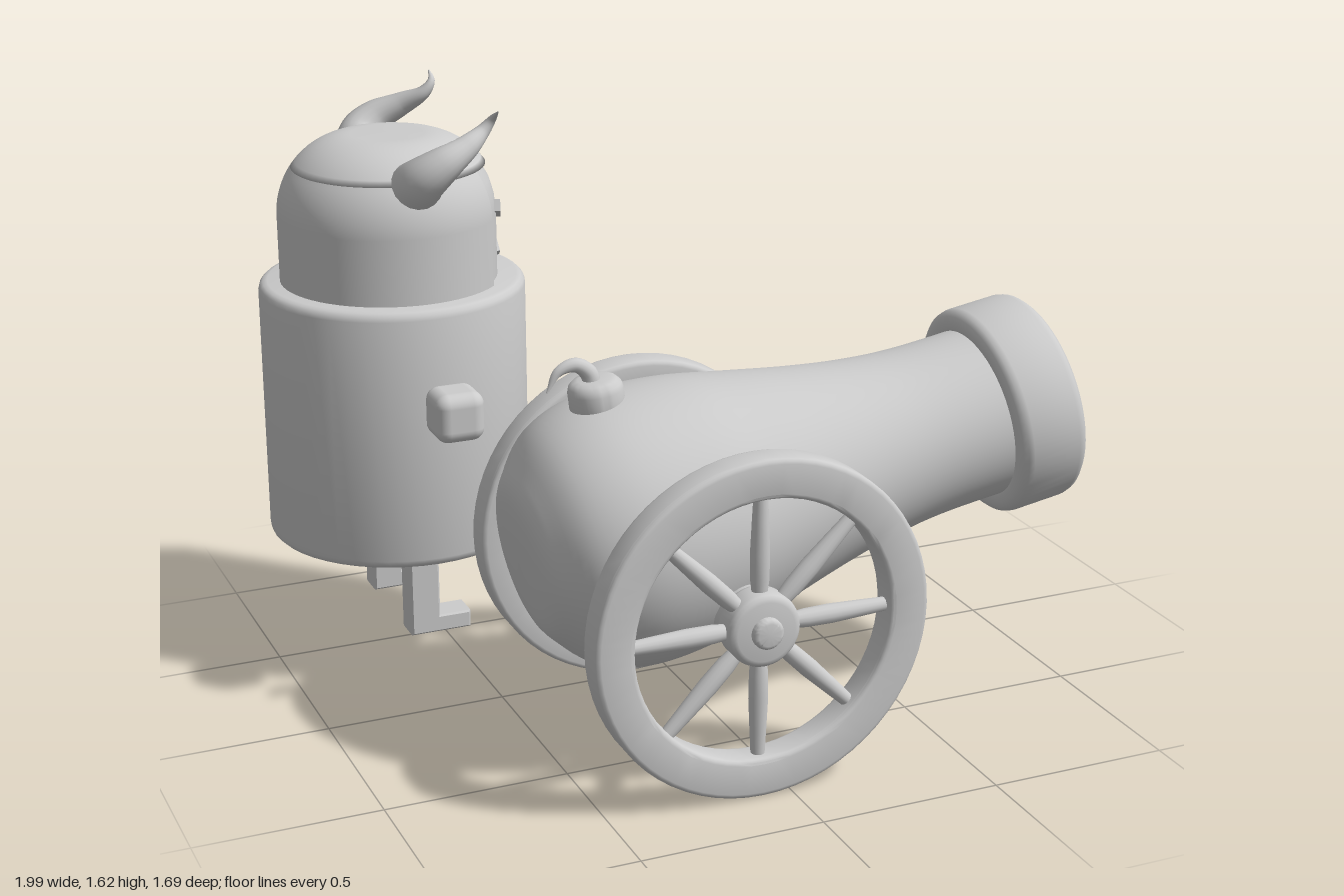
import * as THREE from 'three';
import { toCreasedNormals } from 'three/addons/utils/BufferGeometryUtils.js';
import { RoundedBoxGeometry } from 'three/addons/geometries/RoundedBoxGeometry.js';

const grey = new THREE.MeshStandardMaterial({ color: 0xcccccc, side: THREE.DoubleSide });
grey.name = 'plain grey';

const V2 = (p) => p.map(([r, y]) => new THREE.Vector2(r, y));

function add(parent, name, geometry, x = 0, y = 0, z = 0) {
  const mesh = new THREE.Mesh(geometry, grey);
  mesh.name = name;
  mesh.position.set(x, y, z);
  parent.add(mesh);
  return mesh;
}

function lathe(points, segments = 48) {
  return toCreasedNormals(new THREE.LatheGeometry(V2(points), segments), 0.6);
}

// Rounded quarter-turn from angle a0, centred on (cx, cy)
function arc(cx, cy, rx, ry, a0, steps = 3) {
  return Array.from({ length: steps + 1 }, (_, i) => {
    const a = a0 + (i / steps) * Math.PI / 2;
    return [cx + rx * Math.cos(a), cy + ry * Math.sin(a)];
  });
}

// Solid drum with rounded edges
function drum(r, y0, y1, b) {
  return lathe([[0, y0], ...arc(r - b, y0 + b, b, b, -Math.PI / 2), ...arc(r - b, y1 - b, b, b, 0), [0, y1]]);
}

// Ring of rectangular section with rounded edges
function ring(r0, r1, y0, y1, b) {
  const p = [
    ...arc(r0 + b, y0 + b, b, b, Math.PI), ...arc(r1 - b, y0 + b, b, b, -Math.PI / 2),
    ...arc(r1 - b, y1 - b, b, b, 0), ...arc(r0 + b, y1 - b, b, b, Math.PI / 2),
  ];
  return lathe([...p, p[0]], 64);
}

// Tube along points whose radius follows the list of radii
function taperedTube(points, radii, segments = 30, sides = 14) {
  const curve = new THREE.CatmullRomCurve3(points.map((p) => new THREE.Vector3(...p)));
  const geo = new THREE.TubeGeometry(curve, segments, 1, sides);
  const pos = geo.attributes.position;
  const v = new THREE.Vector3();
  for (let i = 0; i <= segments; i++) {
    const c = curve.getPointAt(i / segments);
    const f = (i / segments) * (radii.length - 1);
    const k = Math.min(Math.floor(f), radii.length - 2);
    const r = THREE.MathUtils.lerp(radii[k], radii[k + 1], f - k);
    for (let j = 0; j <= sides; j++) {
      const n = i * (sides + 1) + j;
      v.fromBufferAttribute(pos, n).sub(c).multiplyScalar(r).add(c);
      pos.setXYZ(n, v.x, v.y, v.z);
    }
  }
  return geo;
}

function makeWheel() {
  const wheel = new THREE.Group();
  wheel.name = 'wheel';
  add(wheel, 'rim', ring(0.355, 0.4625, -0.045, 0.045, 0.014).rotateX(Math.PI / 2));
  add(wheel, 'hub', drum(0.1, -0.045, 0.045, 0.02).rotateX(Math.PI / 2));
  add(wheel, 'hubCap', drum(0.042, 0, 0.066, 0.012).rotateX(Math.PI / 2));
  const spoke = new THREE.LatheGeometry(V2([[0.018, 0.07], [0.025, 0.13], [0.026, 0.2], [0.022, 0.29], [0.018, 0.37]]), 14);
  for (let i = 0; i < 8; i++) add(wheel, 'spoke', spoke).rotation.z = (i * Math.PI) / 4;
  return wheel;
}

function makeCannon() {
  const cannon = new THREE.Group();
  cannon.name = 'cannon';

  // Barrel, built along y with its mouth at 0, then tipped over
  const barrel = new THREE.Group();
  barrel.name = 'barrel';
  barrel.position.set(0.95, 0.815, 0.36);
  barrel.rotation.z = THREE.MathUtils.degToRad(-80.5);
  const outline = new THREE.SplineCurve(V2([
    [0, -1.545], [0.17, -1.535], [0.25, -1.49], [0.32, -1.42], [0.36, -1.32], [0.37, -1.2],
    [0.355, -1.04], [0.32, -0.88], [0.28, -0.7], [0.25, -0.53], [0.235, -0.36], [0.235, -0.1],
  ]));
  add(barrel, 'barrelShell', new THREE.LatheGeometry(outline.getPoints(50), 64));
  add(barrel, 'muzzleRing', ring(0.212, 0.29, -0.2, 0, 0.03));
  add(barrel, 'bore', lathe([[0.212, -0.03], [0.185, -0.2], [0.106, -0.64], [0, -0.64]], 64));
  cannon.add(barrel);

  // Fuse
  const base = add(cannon, 'fuseBase', drum(0.073, -0.06, 0.055, 0.03), -0.35, 0.975, 0.355);
  base.rotation.z = 0.12;
  add(cannon, 'fuse', taperedTube(
    [[-0.36, 1.0, 0.355], [-0.37, 1.045, 0.352], [-0.405, 1.07, 0.348], [-0.45, 1.055, 0.343], [-0.48, 1.0, 0.338]],
    [0.024, 0.023, 0.018, 0.011, 0.002]));

  // Axle and wheels
  add(cannon, 'axle', new THREE.CylinderGeometry(0.085, 0.085, 0.8, 40).rotateX(Math.PI / 2), -0.08, 0.4625, 0.36);
  for (const side of [1, -1]) {
    const wheel = makeWheel();
    wheel.position.set(-0.08, 0.4625, 0.36 + side * 0.415);
    wheel.rotation.y = side > 0 ? 0 : Math.PI;
    cannon.add(wheel);
  }
  return cannon;
}

function makeGunner() {
  const gunner = new THREE.Group();
  gunner.name = 'gunner';
  gunner.position.set(-0.63, 0, -0.475);
  add(gunner, 'body', drum(0.37, 0.375, 1.112, 0.025));

  // Helmet: domed cap above, wall with a face opening below
  const half = 0.76, brow = 1.43, cy = 1.295;
  const cut = Math.asin((brow - cy) / 0.222);
  const corner = (from, to) => Array.from({ length: 11 }, (_, i) => {
    const a = from + ((to - from) * i) / 10;
    return [0.1 + 0.21 * Math.cos(a), cy + 0.222 * Math.sin(a)];
  });
  const wall = [[0.31, 1.1], ...corner(0, cut)];
  const face = [[0.293, 1.1], [0.293, 1.29], [0.288, 1.34], [0.275, 1.385], [0.25, brow]];
  add(gunner, 'helmetWall', new THREE.LatheGeometry(V2(wall), 48, Math.PI / 2 + half, Math.PI * 2 - 2 * half));
  add(gunner, 'helmetCap', new THREE.LatheGeometry(V2([[0.22, brow], ...corner(cut, Math.PI / 2), [0, 1.518]]), 64)
    .toNonIndexed());
  add(gunner, 'face', new THREE.LatheGeometry(V2(face), 24, Math.PI / 2 - half, 2 * half));
  const edge = new THREE.ShapeGeometry(new THREE.Shape(V2([...wall, ...[...face].reverse()])));
  for (const s of [1, -1]) add(gunner, 'openingEdge', edge).rotation.y = s * half;

  for (const s of [1, -1]) {
    // Slanted eyes and peaked mouth, s = 1 on the +z side
    const bar = (name, w, h, turn, y, tilt) => {
      const a = Math.PI / 2 - s * turn;
      const m = add(gunner, name, new THREE.BoxGeometry(w, h, 0.02), 0.295 * Math.sin(a), y, 0.295 * Math.cos(a));
      m.rotation.set(0, a, s * tilt);
    };
    bar('eye', 0.086, 0.034, 0.33, 1.298, -0.44);
    bar('mouth', 0.06, 0.017, 0.075, 1.173, 0.68);

    // Horns
    add(gunner, 'horn', taperedTube(
      [[-0.005, 1.405, 0.22], [0.01, 1.45, 0.285], [0.06, 1.49, 0.303], [0.13, 1.525, 0.285],
        [0.19, 1.56, 0.255], [0.215, 1.59, 0.258], [0.22, 1.615, 0.29]].map(([x, y, z]) => [x, y, s * z]),
      [0.075, 0.067, 0.054, 0.04, 0.029, 0.016, 0.002], 40, 18));

    // Legs with forward feet
    const leg = new THREE.Shape(V2([[-0.04, 0.115], [0.125, 0.115], [0.125, 0.155], [0.035, 0.155], [0.035, 0.4], [-0.04, 0.4]]));
    add(gunner, 'leg', new THREE.ExtrudeGeometry(leg, {
      depth: 0.078, bevelSize: 0.005, bevelThickness: 0.005, bevelSegments: 1,
    }), 0, 0, s * 0.177 - 0.039);
  }

  // Hand held out beside the barrel
  add(gunner, 'hand', new RoundedBoxGeometry(0.134, 0.134, 0.134, 4, 0.035), -0.01, 0.885, 0.553);
  return gunner;
}

export function createModel() {
  const model = new THREE.Group();
  model.name = 'cannonAndGunner';
  model.add(makeCannon(), makeGunner());
  return model;
}
